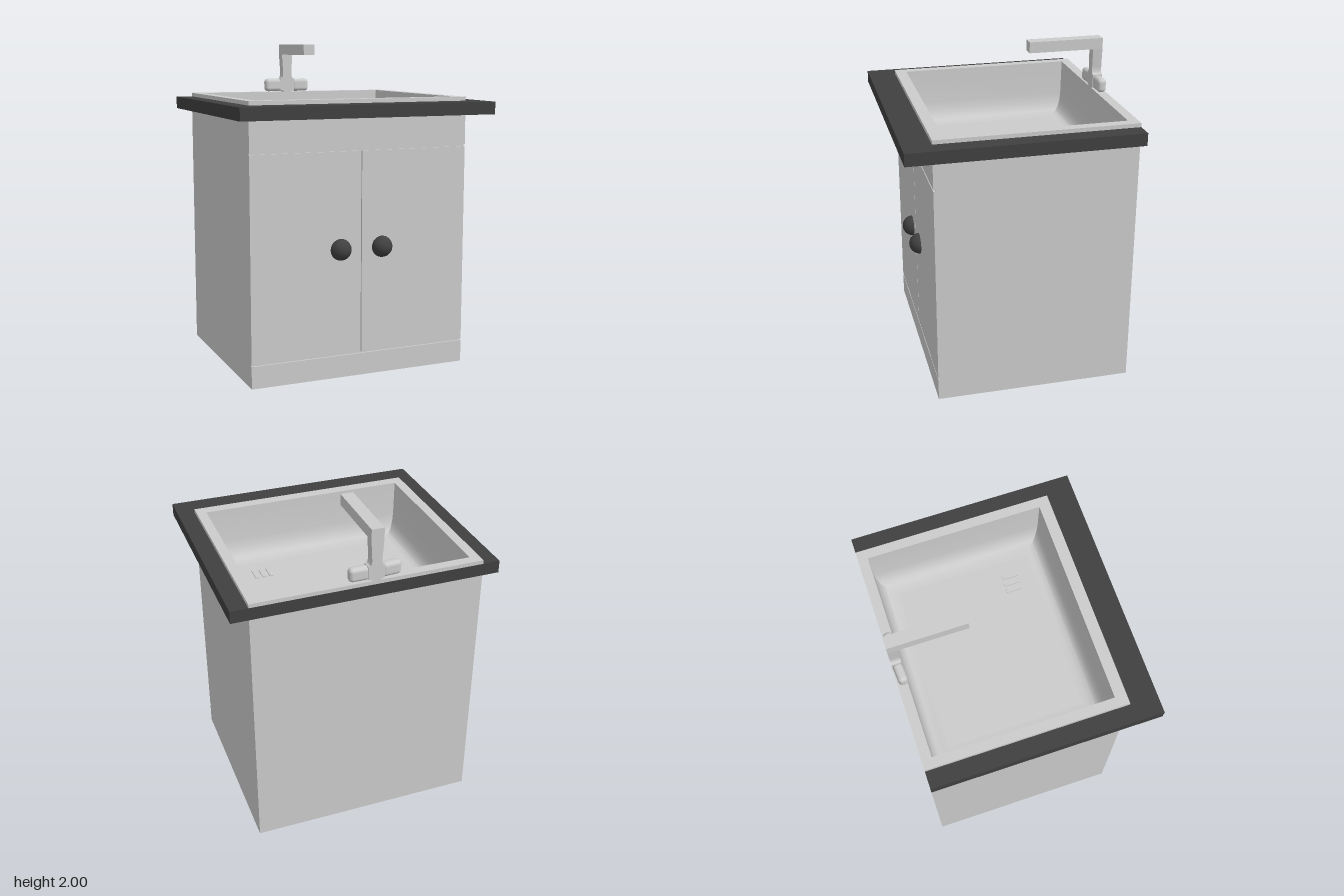
import * as THREE from 'three';
import { toCreasedNormals } from 'three/addons/utils/BufferGeometryUtils.js';
import { RoundedBoxGeometry } from 'three/addons/geometries/RoundedBoxGeometry.js';

const grey = new THREE.MeshStandardMaterial({ color: 0xcccccc });
const greyDouble = new THREE.MeshStandardMaterial({ color: 0xcccccc, side: THREE.DoubleSide });
const dark = new THREE.MeshStandardMaterial({ color: 0x404040 });

const BACK = -0.69, FRONT = 0.52, HALF = 0.7;
const BASIN = { x0: -0.64, x1: 0.64, z0: -0.63, z1: 0.45 };
const RIM_TOP = 1.68;

export function createModel() {
  const model = new THREE.Group();

  const add = (name, geometry, material = grey, parent = model) => {
    const mesh = new THREE.Mesh(geometry, material);
    mesh.name = name;
    parent.add(mesh);
    return mesh;
  };
  // Box given by its limits on each axis
  const block = (name, [x0, x1], [y0, y1], [z0, z1], material, parent) => {
    const mesh = add(name, new THREE.BoxGeometry(x1 - x0, y1 - y0, z1 - z0), material, parent);
    mesh.position.set((x0 + x1) / 2, (y0 + y1) / 2, (z0 + z1) / 2);
    return mesh;
  };
  // Horizontal slab with the basin opening cut through it
  const slab = (name, x, z0, z1, y0, y1, material) => {
    const shape = new THREE.Shape([[-x, -z1], [x, -z1], [x, -z0], [-x, -z0]].map(p => new THREE.Vector2(...p)));
    const { x0, x1, z0: a, z1: b } = BASIN;
    shape.holes.push(new THREE.Path([[x0, -b], [x0, -a], [x1, -a], [x1, -b]].map(p => new THREE.Vector2(...p))));
    const geometry = new THREE.ExtrudeGeometry(shape, { depth: y1 - y0, bevelEnabled: false });
    geometry.rotateX(-Math.PI / 2).translate(0, y0, 0);
    return add(name, geometry, material);
  };

  // Cabinet carcass, open at the top so the basin can hang inside
  const cabinet = new THREE.Group();
  cabinet.name = 'cabinet';
  model.add(cabinet);
  const carcass = block('carcass', [-HALF, HALF], [0, 1.58], [BACK, FRONT - 0.012], greyDouble, cabinet);
  const faces = Array.from(carcass.geometry.index.array);
  faces.splice(12, 6);
  carcass.geometry.setIndex(faces);
  carcass.geometry.clearGroups();

  // Front panels, with narrow gaps between them
  const thick = [FRONT - 0.012, FRONT];
  block('kickBoard', [-HALF, HALF], [0, 0.136], thick, grey, cabinet);
  block('topBoard', [-HALF, HALF], [1.386, 1.58], thick, grey, cabinet);
  for (const [side, s] of [['left', 1], ['right', -1]]) {
    block(side + 'Door', s > 0 ? [0.003, HALF] : [-HALF, -0.003], [0.146, 1.376], thick, grey, cabinet);
    const knob = add(side + 'Knob', new THREE.SphereGeometry(0.065, 32, 20), dark, cabinet);
    knob.position.set(s * 0.135, 0.79, FRONT);
  }

  // Countertop and sink rim
  slab('countertop', 0.805, BACK, 0.69, 1.58, 1.656, dark);
  slab('sinkRim', HALF, BACK, FRONT, 1.656, RIM_TOP, grey);

  // Basin: rectangular rings of [inset, depth], closed by the floor
  const profile = [[0, 0], [0.006, 0.22], [0.014, 0.27], [0.03, 0.31], [0.053, 0.335], [0.085, 0.347], [0.12, 0.35]];
  const positions = [], indices = [];
  profile.forEach(([inset, depth], i) => {
    const x0 = BASIN.x0 + inset, x1 = BASIN.x1 - inset;
    const z0 = BASIN.z0 + inset, z1 = BASIN.z1 - inset;
    const y = RIM_TOP - depth;
    positions.push(x0, y, z0, x0, y, z1, x1, y, z1, x1, y, z0);
    if (i === 0) return;
    for (let k = 0; k < 4; k++) {
      const n = (k + 1) % 4, a = (i - 1) * 4, b = i * 4;
      indices.push(a + k, b + k, a + n, a + n, b + k, b + n);
    }
  });
  const last = (profile.length - 1) * 4;
  indices.push(last, last + 1, last + 2, last, last + 2, last + 3);
  const bowl = new THREE.BufferGeometry();
  bowl.setAttribute('position', new THREE.Float32BufferAttribute(positions, 3));
  bowl.setIndex(indices);
  add('basin', toCreasedNormals(bowl, 0.7), greyDouble);

  // Drain bars on the basin floor
  for (let i = 0; i < 3; i++) {
    const x = 0.322 + i * 0.046;
    block('drainBar', [x - 0.012, x + 0.012], [1.325, 1.337], [0.135, 0.235]);
  }

  // Tap: flared post, square spout and two rounded handles
  const tap = new THREE.Group();
  tap.name = 'tap';
  tap.position.x = -0.038;
  model.add(tap);
  const post = new THREE.Shape();
  post.moveTo(-0.022, 1.68);
  post.lineTo(0.022, 1.68);
  post.quadraticCurveTo(0.035, 1.69, 0.05, 1.69);
  post.lineTo(0.05, 1.77);
  post.quadraticCurveTo(0.03, 1.77, 0.03, 1.81);
  post.lineTo(0.038, 1.935);
  post.lineTo(-0.038, 1.935);
  post.lineTo(-0.03, 1.81);
  post.quadraticCurveTo(-0.03, 1.77, -0.05, 1.77);
  post.lineTo(-0.05, 1.69);
  post.quadraticCurveTo(-0.035, 1.69, -0.022, 1.68);
  const postGeometry = new THREE.ExtrudeGeometry(post, { depth: 0.06, bevelEnabled: false });
  add('post', postGeometry, grey, tap).position.z = BACK;
  block('spout', [-0.038, 0.038], [1.932, 2], [BACK, -0.22], grey, tap);
  for (const [side, s] of [['left', 1], ['right', -1]]) {
    const handle = add(side + 'Handle', new RoundedBoxGeometry(0.12, 0.086, 0.056, 4, 0.024), grey, tap);
    handle.position.set(s * 0.098, 1.726, s > 0 ? -0.658 : -0.654);
    handle.rotation.y = s > 0 ? 0 : 0.07;
  }

  return model;
}
